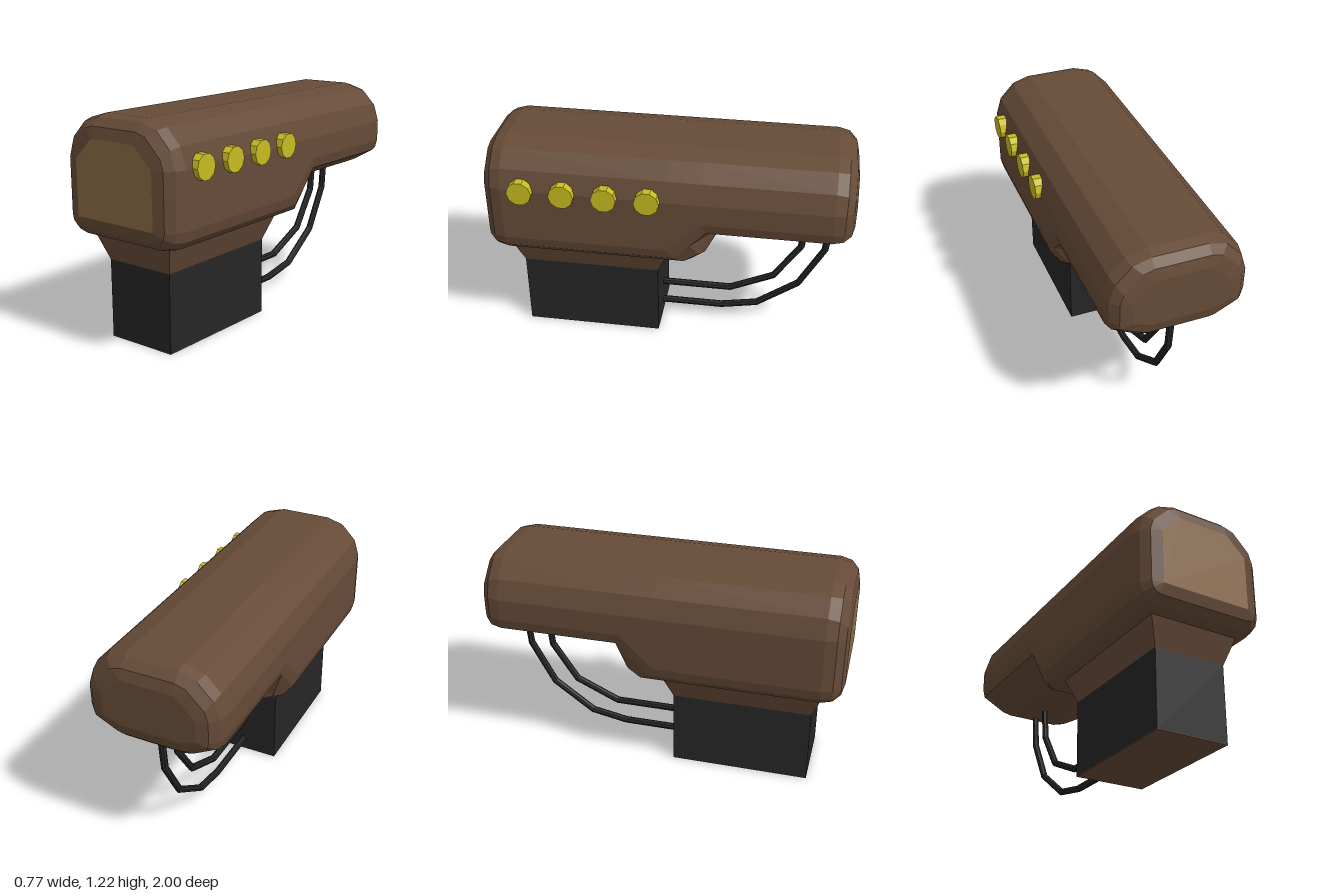
import * as THREE from 'three';

const CX = -0.015; // shared centre line of body, neck, base and cables
const mat = (color) => new THREE.MeshStandardMaterial({ color, flatShading: true });
const lerp = THREE.MathUtils.lerp;

// Closed, capped skin through rings of [x, y, z] (counter-clockwise seen against the travel)
function loft(rings) {
  const n = rings[0].length, index = [], last = (rings.length - 1) * n;
  for (let i = 0; i < rings.length - 1; i++) {
    for (let j = 0; j < n; j++) {
      const a = i * n + j, b = i * n + (j + 1) % n;
      index.push(a, a + n, b, b, a + n, b + n);
    }
  }
  for (let j = 1; j < n - 1; j++) index.push(0, j, j + 1, last, last + j + 1, last + j);
  const g = new THREE.BufferGeometry();
  g.setAttribute('position', new THREE.Float32BufferAttribute(rings.flat(2), 3));
  g.setIndex(index);
  g.computeVertexNormals();
  return g;
}

// Body section: inner corners grown outwards by r; the lower corners rise towards the rear
function bodyRing([zTop, zBottom, r, tC, tD]) {
  const A = [0.145, 1.1], B = [0.255, 0.99];
  const C = [0.255, lerp(0.69, 0.87, tC)];
  const D = [lerp(0.255, 0.16, tD), lerp(0.69, 0.835, tD)];
  const half = [ // corner, offset direction, share of the bottom z
    [A, 0, 1, 0], [A, 0.95, 0.72, 0],
    [B, 0.7, 0.95, 0], [B, 1, 0, 0],
    [C, 1, 0, 0], [C, 0.87, -0.5, 0.3],
    [D, 0.5, -0.87, 0.7], [D, 0, -1, 1],
  ].map(([p, dx, dy, k]) => [p[0] + dx * r, p[1] + dy * r, lerp(zTop, zBottom, k)]);
  return [
    ...half.slice().reverse().map(([x, y, z]) => [CX + x, y, z]),
    ...half.map(([x, y, z]) => [CX - x, y, z]),
  ];
}

// Rectangle ring lying flat at height y
const rect = (y, w, z0, z1) =>
  [[CX + w, y, z1], [CX + w, y, z0], [CX - w, y, z0], [CX - w, y, z1]];

// Cable with mitred bends along [z, y] points
function cable(points, radius = 0.02, sides = 8) {
  return loft(points.map(([z, y], i) => {
    const dir = (a, b) => new THREE.Vector2(b[0] - a[0], b[1] - a[1]).normalize();
    const before = dir(points[Math.max(i - 1, 0)], points[Math.max(i, 1)]);
    const end = points.length - 1;
    const after = dir(points[Math.min(i, end - 1)], points[Math.min(i + 1, end)]);
    const t = before.add(after).normalize();
    return Array.from({ length: sides }, (_, j) => {
      const a = j / sides * Math.PI * 2, c = Math.cos(a) * radius, s = Math.sin(a) * radius;
      return [CX + c, y - s * t.x, z + s * t.y];
    });
  }));
}

export function createModel() {
  const group = new THREE.Group();
  const brown = mat(0x664b37), tan = mat(0x8d6a47), black = mat(0x262626), yellow = mat(0xc8bc20);
  const add = (name, geometry, material) => {
    const mesh = new THREE.Mesh(geometry, material);
    mesh.name = name;
    group.add(mesh);
    return mesh;
  };

  // Body: rounded ends, deep front and a shallower rear overhang
  const bevel = [[1, 0], [0.985, 0.06], [0.945, 0.1], [0.885, 0.115]];
  add('body', loft([
    ...bevel.map(([z, r]) => [z - 0.001, z - 0.001, r, 0, 0]),
    [-0.01, -0.14, 0.115, 0, 0],
    [-0.11, -0.21, 0.115, 0.5, 0.25],
    [-0.2, -0.28, 0.115, 1, 1],
    ...bevel.slice().reverse().map(([z, r]) => [-z, -z, r, 1, 1]),
  ].map(bodyRing)), brown);

  // Lighter panel on the front face
  const outline = [[-0.255, 0.69], [0.255, 0.69], [0.255, 0.99], [0.145, 1.1], [-0.145, 1.1], [-0.255, 0.99]];
  const shape = new THREE.Shape(outline.map(([x, y]) => new THREE.Vector2(CX + x, y)));
  add('frontPanel', new THREE.ShapeGeometry(shape), tan).position.z = 1;

  // Tapered neck and square base
  add('neck', loft([rect(0.58, 0.257, 0, 0.887), rect(0.43, 0.205, 0.06, 0.835)]), brown);
  add('base', loft([rect(0.43, 0.205, 0.06, 0.835), rect(0.004, 0.205, 0.06, 0.835)]), black);
  add('basePlate', loft([rect(0.004, 0.205, 0.06, 0.835), rect(0, 0.205, 0.06, 0.835)]), brown);

  // Row of buttons on the left side
  for (const z of [0.77, 0.543, 0.315, 0.087]) {
    const button = add('button', new THREE.CylinderGeometry(0.068, 0.068, 0.05, 10), yellow);
    button.rotation.z = -Math.PI / 2;
    button.position.set(0.36, 0.99, z);
  }

  // Two cables from the base up to the rear overhang
  add('lowerCable', cable([[0.08, 0.07], [-0.29, 0.07], [-0.5, 0.11], [-0.735, 0.28], [-0.87, 0.53], [-0.89, 0.75]]), black);
  add('upperCable', cable([[0.08, 0.205], [-0.34, 0.205], [-0.59, 0.32], [-0.735, 0.54], [-0.757, 0.75]]), black);

  return group;
}
